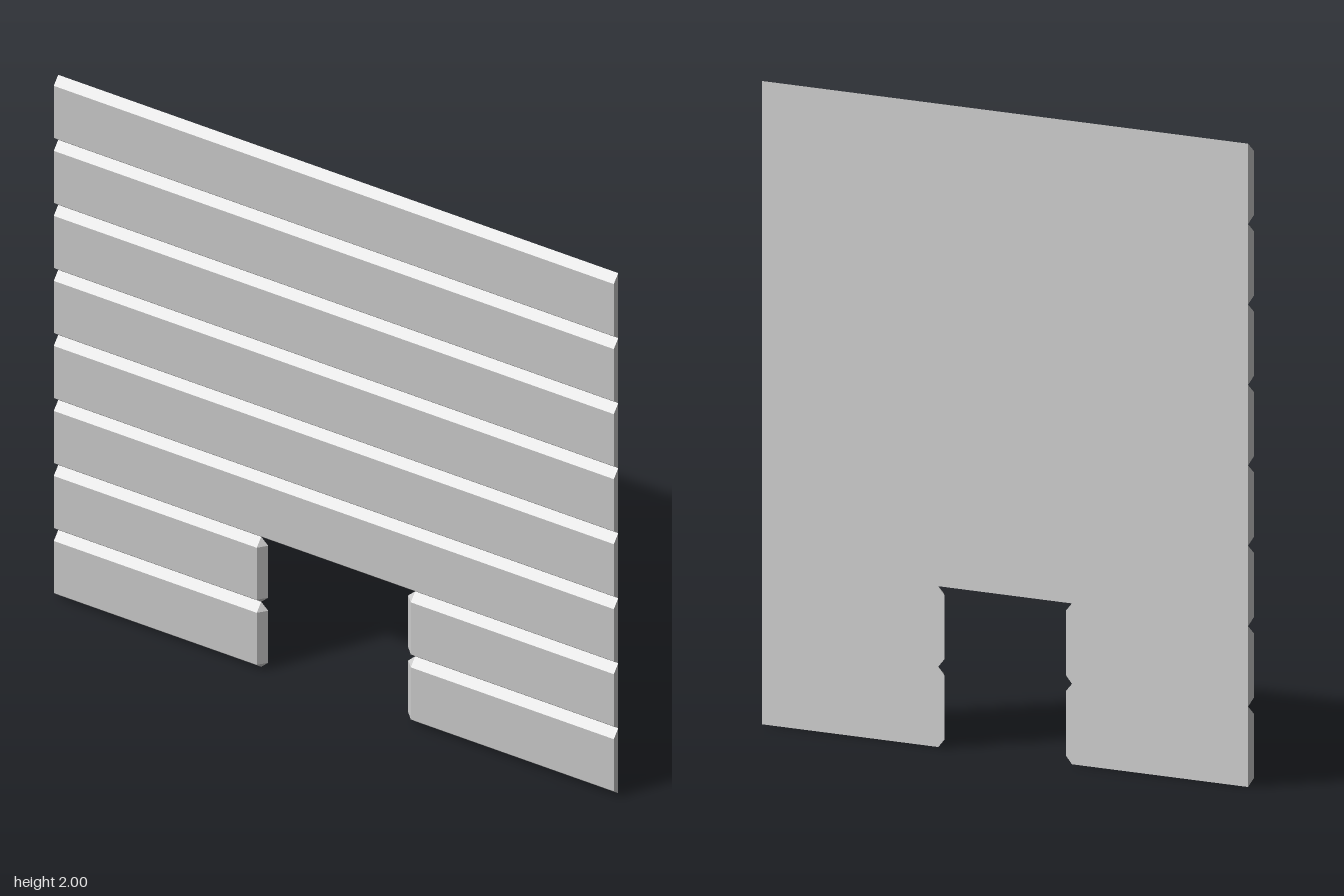
import * as THREE from 'three';
import { ConvexGeometry } from 'three/addons/geometries/ConvexGeometry.js';

const ROWS = 8, H = 0.25;   // plank rows and their height
const B = 0.025;            // bevel width
const F = 0.0135, K = -0.0135; // front and back z
const DOOR = 0.25;          // half width of the doorway

export function createModel() {
  const group = new THREE.Group();
  group.name = 'plankWall';
  const material = new THREE.MeshStandardMaterial({ color: 0xcccccc, flatShading: true });

  const addPlank = (name, points) => {
    const geometry = new ConvexGeometry(points.map((p) => new THREE.Vector3(...p)));
    const mesh = new THREE.Mesh(geometry, material);
    mesh.name = name;
    group.add(mesh);
  };

  for (let i = 0; i < ROWS; i++) {
    const y0 = i * H, y1 = y0 + H;
    if (i >= 2) {
      // full-width plank, bevelled along its top and bottom front edges
      const points = [];
      for (const x of [-1, 1]) {
        points.push([x, y0, K], [x, y1, K], [x, y0 + B, F], [x, y1 - B, F]);
      }
      addPlank('wallPlank' + (i + 1), points);
      continue;
    }
    // short planks beside the doorway, with a bevelled inner end and cut corners
    for (const s of [1, -1]) {
      const inner = s * DOOR, cut = s * (DOOR + B);
      addPlank((s > 0 ? 'left' : 'right') + 'DoorPlank' + (i + 1), [
        [s, y0, K], [s, y1, K], [s, y0 + B, F], [s, y1 - B, F],
        [cut, y0, K], [cut, y1, K], [inner, y0 + B, K], [inner, y1 - B, K],
        [cut, y0 + B, F], [cut, y1 - B, F],
      ]);
    }
  }
  return group;
}
